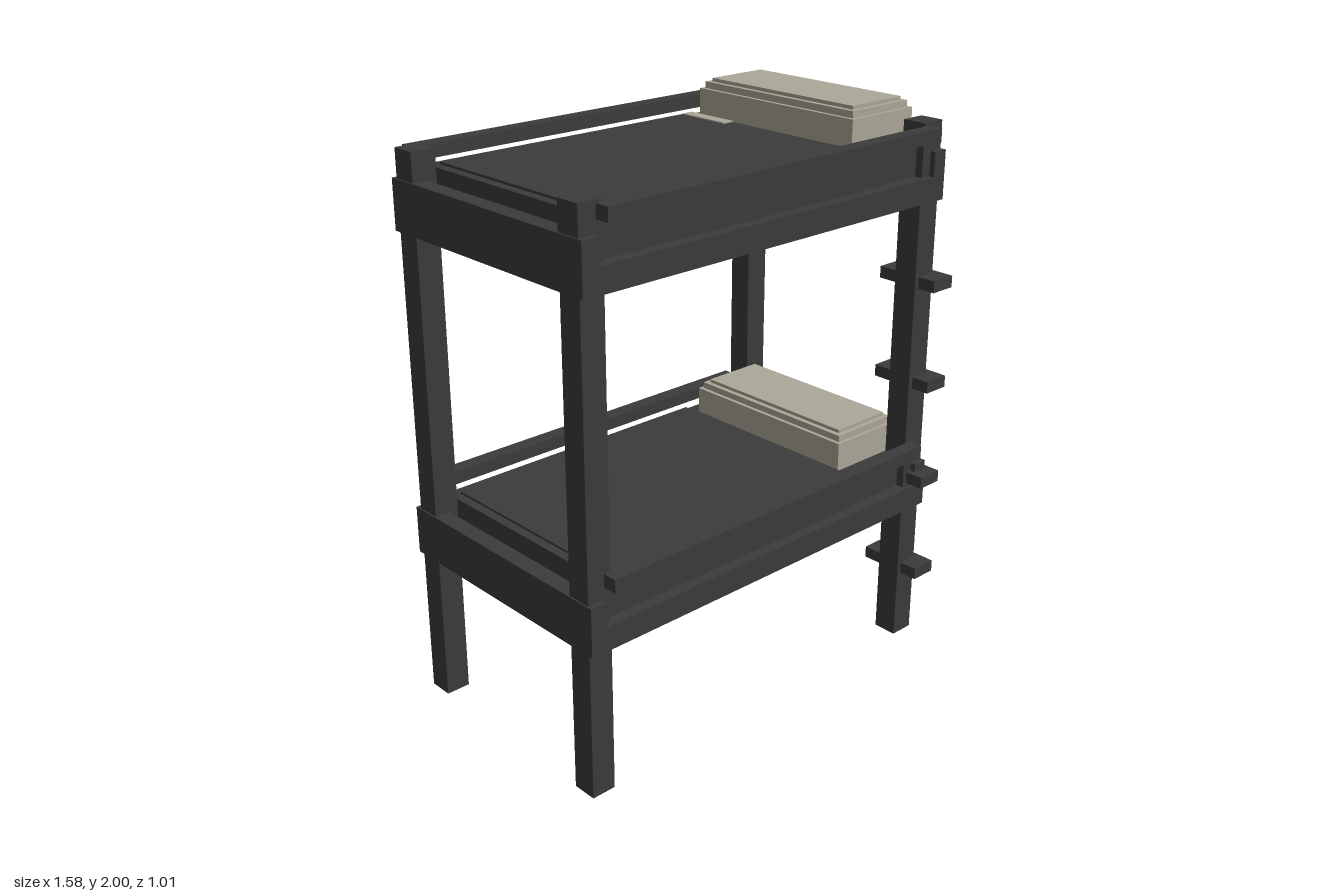
import * as THREE from 'three';

export function createModel() {
  const root = new THREE.Group();
  root.name = 'bunkBed';
  const charcoal = new THREE.MeshStandardMaterial({ color: 0x3b3b3b });
  charcoal.name = 'charcoal';
  const linen = new THREE.MeshStandardMaterial({ color: 0xaca798 });
  linen.name = 'linen';

  // Box given by its lower and upper limits on each axis
  const box = (parent, name, [x0, x1], [y0, y1], [z0, z1], mat = charcoal) => {
    const mesh = new THREE.Mesh(new THREE.BoxGeometry(x1 - x0, y1 - y0, z1 - z0), mat);
    mesh.position.set((x0 + x1) / 2, (y0 + y1) / 2, (z0 + z1) / 2);
    mesh.name = name;
    parent.add(mesh);
    return mesh;
  };

  // Four corner posts
  for (const x of [[-0.785, -0.697], [0.675, 0.765]]) {
    for (const z of [[-0.45, -0.362], [0.35, 0.438]]) box(root, 'post', x, [0, 1.93], z);
  }

  // One bunk, with heights measured from the underside of its frame
  const makeBunk = (name, y) => {
    const bunk = new THREE.Group();
    bunk.name = name;
    bunk.position.y = y;
    root.add(bunk);

    // End boards wrap the posts, lower side boards run between them
    box(bunk, 'endBoard', [-0.79, -0.73], [0, 0.17], [-0.47, 0.457]);
    box(bunk, 'endBoard', [0.715, 0.77], [0, 0.17], [-0.47, 0.457]);
    box(bunk, 'sideBoard', [-0.73, 0.715], [0, 0.085], [0.41, 0.457]);
    box(bunk, 'sideBoard', [-0.73, 0.715], [0, 0.085], [-0.47, -0.425]);

    // Guard rails outside the posts
    box(bunk, 'guardRail', [-0.722, 0.7], [0.212, 0.258], [0.437, 0.49]);
    box(bunk, 'guardRail', [-0.722, 0.7], [0.212, 0.258], [-0.505, -0.449]);

    // Base, mattress and the blanket laid over most of it
    box(bunk, 'base', [-0.73, 0.715], [0.005, 0.05], [-0.425, 0.41]);
    box(bunk, 'mattress', [-0.687, 0.7], [0.05, 0.2], [-0.425, 0.41]);
    box(bunk, 'blanketDrape', [-0.692, 0.415], [0.06, 0.204], [-0.43, 0.416]);
    box(bunk, 'blanketTop', [-0.66, 0.41], [0.204, 0.212], [-0.395, 0.373]);

    // Pillow in three stepped layers
    box(bunk, 'pillow', [0.42, 0.716], [0.2, 0.303], [-0.363, 0.348], linen);
    box(bunk, 'pillowStep', [0.434, 0.703], [0.303, 0.326], [-0.351, 0.336], linen);
    box(bunk, 'pillowTop', [0.452, 0.69], [0.326, 0.338], [-0.334, 0.318], linen);
    return bunk;
  };
  makeBunk('lowerBunk', 0.525);
  const upper = makeBunk('upperBunk', 1.662);

  // Turned corner of the sheet beside the upper pillow
  box(upper, 'sheetCorner', [0.365, 0.41], [0.212, 0.216], [-0.395, -0.187], linen);

  // Climbing steps on the front left post
  for (let i = 0; i < 4; i++) {
    const y = 0.275 + i * 0.368;
    box(root, 'step', [0.693, 0.79], [y - 0.021, y + 0.021], [0.268, 0.505]);
  }
  return root;
}
